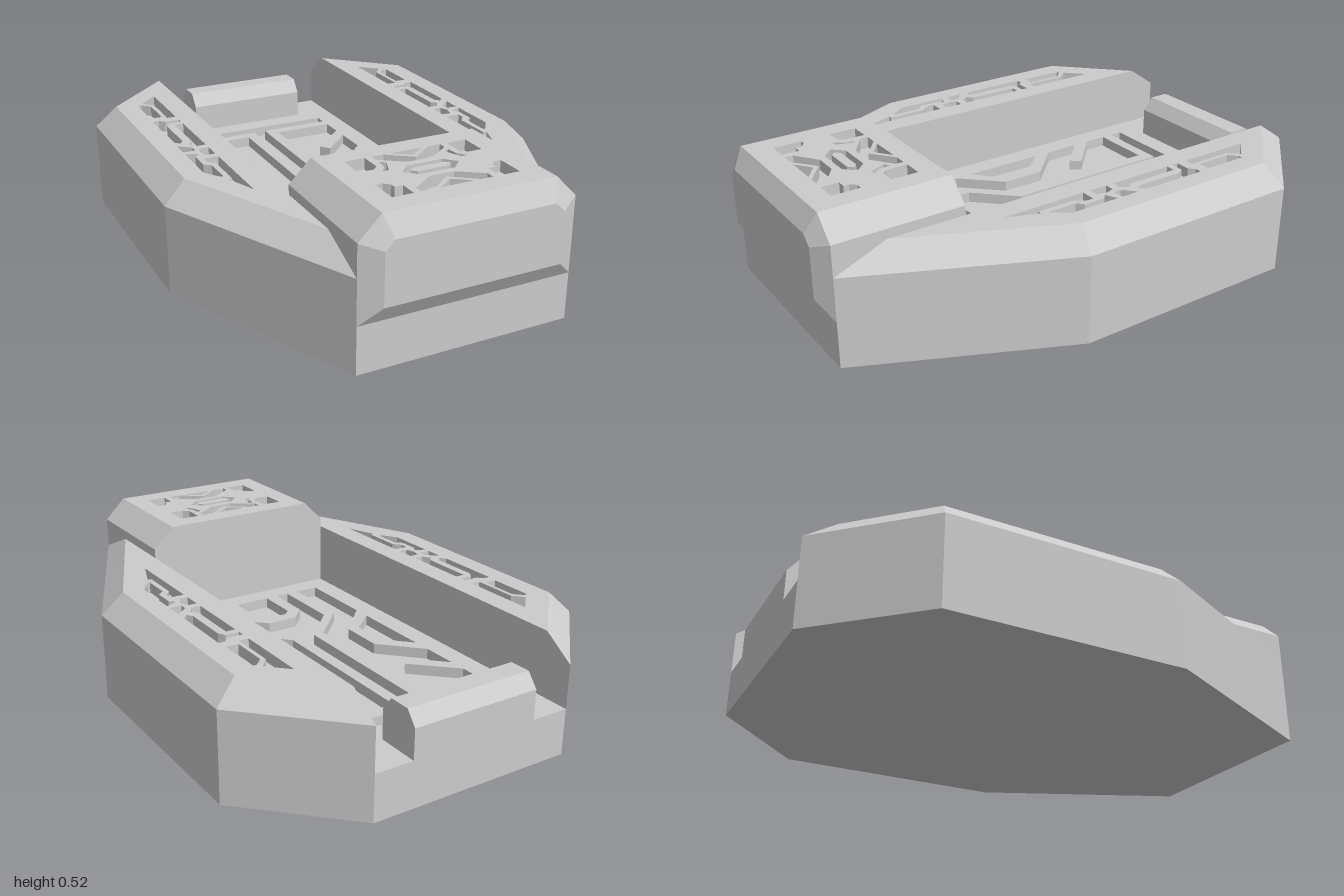
import * as THREE from 'three';
import { mergeGeometries } from 'three/addons/utils/BufferGeometryUtils.js';

const MAT = new THREE.MeshStandardMaterial({ color: 0xcccccc, flatShading: true });
const DEPTH = 0.04; // depth of the carved grooves

const mirror = (pts) => pts.map(([x, z]) => [-x, z]);
const both = (shapes) => [...shapes, ...shapes.map(mirror)];

// Plan points [x, z] as 2D vectors, counter-clockwise seen from above
function plan(pts) {
  const v = pts.map(([x, z]) => new THREE.Vector2(x, -z));
  return THREE.ShapeUtils.area(v) < 0 ? v.reverse() : v;
}

// Skin between rings of 3D points; `open` leaves out the closing edge
function loft(rings, open = false) {
  const pos = [];
  const n = rings[0].length;
  for (let r = 0; r + 1 < rings.length; r++) {
    for (let i = 0; i < (open ? n - 1 : n); i++) {
      const j = (i + 1) % n;
      const [a, b, c, d] = [rings[r][i], rings[r][j], rings[r + 1][j], rings[r + 1][i]];
      pos.push(...a, ...b, ...c, ...a, ...c, ...d);
    }
  }
  const g = new THREE.BufferGeometry();
  g.setAttribute('position', new THREE.Float32BufferAttribute(pos, 3));
  g.computeVertexNormals();
  return g;
}

// Vertical walls through plan outlines at given heights
const walls = (...levels) =>
  loft(levels.map(([pts, y]) => plan(pts).map((v) => [v.x, y, -v.y])));

// Horizontal face with holes
function face(pts, y, holes = []) {
  const s = new THREE.Shape(plan(pts));
  s.holes = holes.map((h) => new THREE.Path(plan(h)));
  return new THREE.ShapeGeometry(s).rotateX(-Math.PI / 2).translate(0, y, 0);
}

// Top face with recessed pockets
const carved = (pts, y, holes) => [
  face(pts, y, holes),
  ...holes.flatMap((h) => [walls([h, y], [h, y - DEPTH]), face(h, y - DEPTH)]),
];

function part(name, geos) {
  const clean = geos.map((g) => {
    const out = g.index ? g.toNonIndexed() : g;
    out.deleteAttribute('uv');
    return out;
  });
  const mesh = new THREE.Mesh(mergeGeometries(clean), MAT);
  mesh.name = name;
  return mesh;
}

// Grooves of the channel floor
const forkHalf = [[0.31, -0.76], [0.31, -0.71], [0.025, -0.71], [0.025, -0.03],
  [0.17, 0.12], [0.17, 0.4], [0.12, 0.4], [0.12, 0.22], [0.06, 0.16]];
const archHalf = [[0.045, 0.21], [0.07, 0.235], [0.07, 0.4]];
const whole = (half) => [...half, ...mirror(half).reverse()];
const floorGrooves = [
  whole(forkHalf), whole(archHalf),
  ...both([
    [[0.07, -0.665], [0.31, -0.665], [0.31, -0.575], [0.16, -0.43], [0.19, -0.39], [0.31, -0.51],
      [0.31, -0.37], [0.17, -0.225], [0.17, -0.055], [0.31, 0.09], [0.31, 0.4], [0.22, 0.4],
      [0.22, 0.12], [0.07, -0.03]],
    [[0.31, -0.3], [0.31, 0.02], [0.215, -0.06], [0.215, -0.2]],
  ]),
];

// Grooves of one flank (x > 0)
const flankGrooves = [
  [[0.475, -0.69], [0.545, -0.62], [0.51, -0.58], [0.51, -0.41], [0.475, -0.41]],
  [[0.57, -0.6], [0.57, -0.43], [0.525, -0.43], [0.525, -0.57], [0.555, -0.6]],
  [[0.475, -0.37], [0.53, -0.37], [0.55, -0.39], [0.575, -0.39], [0.575, -0.14], [0.555, -0.12],
    [0.54, -0.14], [0.54, -0.32], [0.525, -0.345], [0.475, -0.345]],
  [[0.475, -0.32], [0.51, -0.32], [0.51, -0.12], [0.53, -0.1], [0.51, -0.07], [0.475, -0.07]],
  [[0.575, -0.1], [0.575, -0.03], [0.53, -0.03], [0.53, -0.06]],
  [[0.475, -0.04], [0.51, -0.04], [0.52, -0.01], [0.51, 0.03], [0.475, 0.03]],
  [[0.575, -0.01], [0.575, 0.18], [0.535, 0.24], [0.525, 0.24], [0.525, 0.13], [0.55, 0.11],
    [0.55, 0.03], [0.53, 0.01]],
  [[0.475, 0.06], [0.53, 0.06], [0.53, 0.09], [0.505, 0.12], [0.505, 0.27], [0.52, 0.27],
    [0.475, 0.39]],
];

// Grooves of the head panel, mirrored left-right and partly front-back
const Z0 = 0.717;
const flipZ = (pts) => pts.map(([x, z]) => [x, 2 * Z0 - z]);
const chevron = whole([[0.13, 0.56], [0.13, 0.59], [0.045, 0.65]]).concat([[-0.085, 0.56], [0, 0.625], [0.085, 0.56]]);
const wedge = [[-0.06, 0.56], [0.06, 0.56], [0, 0.605]];
const hexagon = (w, h) => [[-w, Z0], [-w + h, Z0 - h], [w - h, Z0 - h], [w, Z0], [w - h, Z0 + h], [-w + h, Z0 + h]];
const headGrooves = [
  chevron, wedge, flipZ(chevron), flipZ(wedge), hexagon(0.105, 0.04),
  ...both([
    [[0.155, 0.56], [0.23, 0.56], [0.23, 0.66], [0.175, 0.66], [0.155, 0.64]],
    [[0.23, 0.77], [0.23, 0.875], [0.155, 0.875], [0.155, 0.81], [0.185, 0.81], [0.185, 0.79],
      [0.205, 0.77]],
    [[0.11, 0.625], [0.13, 0.61], [0.135, 0.655], [0.16, 0.685], [0.135, 0.685]],
  ]),
];

function flank(s) {
  const m = (pts) => (s < 0 ? mirror(pts) : pts);
  const low = m([[0.39, -1], [0.73, -0.66], [0.73, 0.22], [0.39, 0.96]]);
  const top = m([[0.39, -0.885], [0.65, -0.63], [0.65, 0.2], [0.39, 0.77]]);
  return part(s < 0 ? 'rightFlank' : 'leftFlank', [
    walls([low, 0], [low, 0.33], [top, 0.41]),
    ...carved(top, 0.41, flankGrooves.map(m)),
  ]);
}

function head() {
  // Half profile from the top edge down, closed by mirroring
  const profile = (pts, z) => [
    ...pts.map(([x, y]) => [-x, y, z]),
    ...pts.slice().reverse().map(([x, y]) => [x, y, z]),
  ];
  const big = [[0.31, 0.525], [0.39, 0.445], [0.39, 0.17]];
  const small = [[0.285, 0.453], [0.32, 0.42], [0.32, 0.235]];
  const cap = (pts, z) => new THREE.ShapeGeometry(
    new THREE.Shape(profile(pts, z).map(([x, y]) => new THREE.Vector2(x, y))));
  const island = hexagon(0.075, 0.017);
  return part('head', [
    loft([profile(big, 0.48), profile(big, 0.96)], true),
    loft([profile(big, 0.96), profile(small, 1)]),
    cap(small).translate(0, 0, 1),
    cap(big).rotateY(Math.PI).translate(0, 0, 0.48),
    ...carved([[-0.31, 0.48], [0.31, 0.48], [0.31, 0.96], [-0.31, 0.96]], 0.525, headGrooves),
    walls([island, 0.525 - DEPTH], [island, 0.525]), face(island, 0.525),
  ]);
}

function rearLedge() {
  const profile = [[-1, 0.16], [-0.84, 0.16], [-0.84, 0.28], [-0.88, 0.33], [-0.96, 0.33], [-1, 0.28]];
  const shape = new THREE.Shape(profile.map(([z, y]) => new THREE.Vector2(z, y)));
  const geo = new THREE.ExtrudeGeometry(shape, { depth: 0.49, bevelEnabled: false });
  return part('rearLedge', [geo.rotateY(-Math.PI / 2).translate(0.245, 0, 0)]);
}

export function createModel() {
  const group = new THREE.Group();
  const slab = [[-0.39, -1], [0.39, -1], [0.39, 0.96], [-0.39, 0.96]];
  const footprint = whole([[0.39, -1], [0.73, -0.66], [0.73, 0.22], [0.39, 0.96]]);
  group.add(
    part('channelFloor', [walls([slab, 0], [slab, 0.17]), ...carved(slab, 0.17, floorGrooves)]),
    part('underside', [face(footprint, 0).rotateX(Math.PI).scale(1, 1, 1)]),
    flank(1), flank(-1), head(), rearLedge(),
  );
  // The underside was turned over, so restore its front-to-back direction
  const under = group.getObjectByName('underside');
  under.geometry = part('underside', [face(footprint.map(([x, z]) => [x, -z]), 0).rotateX(Math.PI)]).geometry;
  return group;
}
